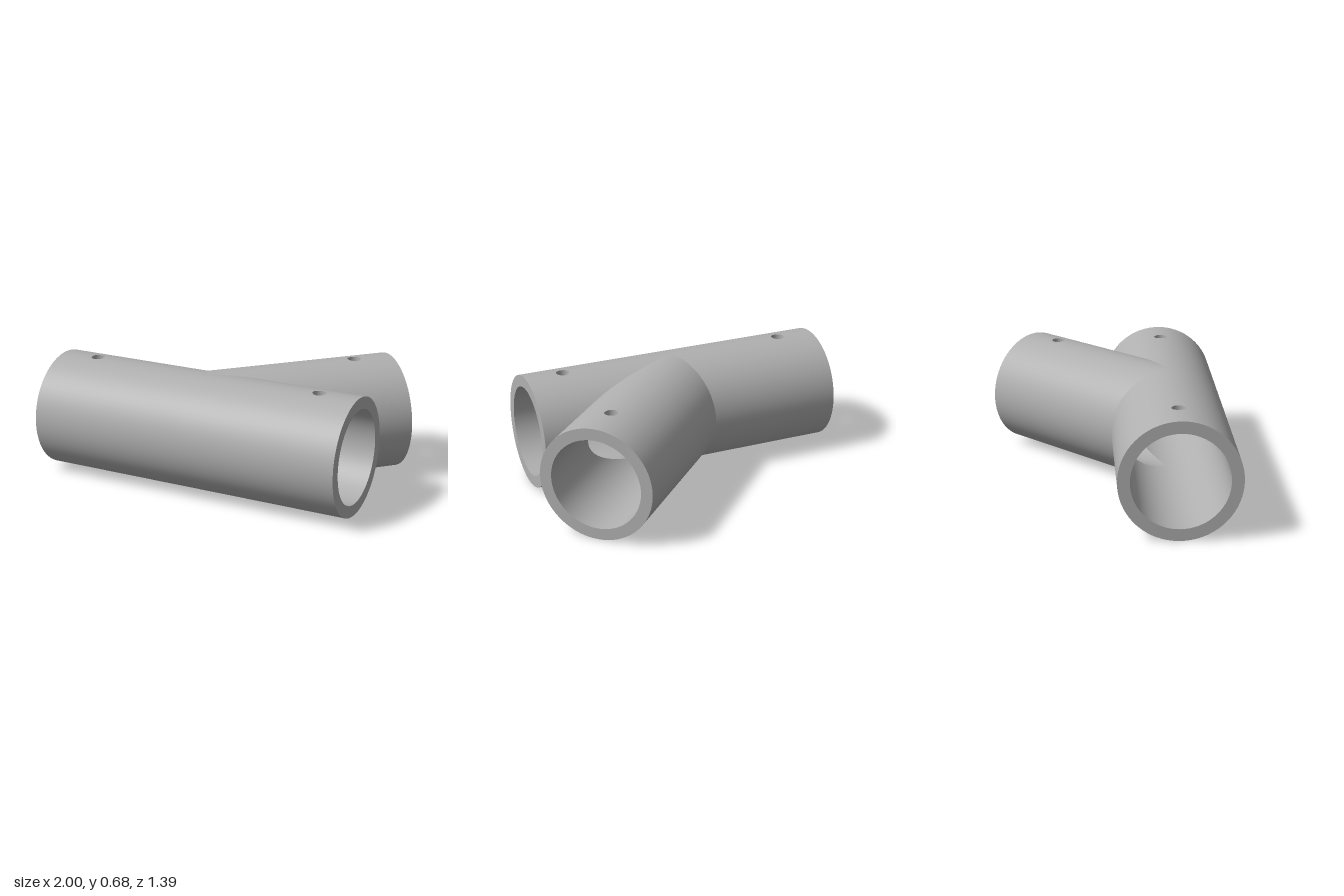
import * as THREE from 'three';

const R = 0.341, BORE = 0.272;          // outer and bore radius
const HOLE = 0.039, PATCH = 0.056;      // screw hole radius, half side of the patch around it
const NEAR = Math.tan(Math.PI / 8), FAR = 1 / NEAR; // mitre slopes of the 45 degree joint

// Collects quads with given normals and turns each triangle to face its normal
function surface() {
  const pos = [], nor = [];
  const tri = (...v) => {
    const [a, b, c] = v.map(q => q.p);
    const face = b.clone().sub(a).cross(c.clone().sub(a));
    if (face.lengthSq() < 1e-16) return;
    const mean = v[0].n.clone().add(v[1].n).add(v[2].n);
    const order = face.dot(mean) < 0 ? [v[0], v[2], v[1]] : v;
    for (const q of order) { pos.push(...q.p.toArray()); nor.push(...q.n.toArray()); }
  };
  return {
    quad(a, b, c, d) { tri(a, b, c); tri(a, c, d); },
    build() {
      const g = new THREE.BufferGeometry();
      g.setAttribute('position', new THREE.Float32BufferAttribute(pos, 3));
      g.setAttribute('normal', new THREE.Float32BufferAttribute(nor, 3));
      return g;
    },
  };
}

// Heights follow the cylinder of radius r; side is +1 outside, -1 in the bore
function onTop(s, z, r, side) {
  const y = Math.sqrt(r * r - z * z);
  return { p: new THREE.Vector3(s, y, z), n: new THREE.Vector3(0, y / r, z / r).multiplyScalar(side) };
}
function around(s, t, r, side) {
  const n = new THREE.Vector3(0, Math.cos(t), Math.sin(t));
  return { p: n.clone().multiplyScalar(r).setX(s), n: n.multiplyScalar(side) };
}

// Angles from the top: a narrow band for the screw hole, then the rest of the circle
function angles(r) {
  const list = [];
  for (let i = -4; i <= 4; i++) list.push(Math.asin(PATCH * Math.tan(i * Math.PI / 16) / r));
  const edge = list[8], n = 64;
  for (let i = 1; i <= n; i++) list.push(edge + (2 * Math.PI - 2 * edge) * i / n);
  return list;
}

// One pipe wall from the mitred joint to the open end, with a round hole on top
function wall(r, side, length, hole, kPlus, kMinus) {
  const out = surface(), list = angles(r);
  const start = t => {
    const z = r * Math.sin(t);
    return z > 0 ? kPlus * z : -kMinus * z;
  };
  for (let i = 0; i < list.length - 1; i++) {
    const a = list[i], b = list[i + 1];
    const strip = (a0, a1, b0, b1) => out.quad(
      around(a0, a, r, side), around(a1, a, r, side),
      around(b1, b, r, side), around(b0, b, r, side));
    if (i < 8) {
      strip(start(a), hole - PATCH, start(b), hole - PATCH);
      strip(hole + PATCH, length, hole + PATCH, length);
    } else strip(start(a), length, start(b), length);
  }
  // Square patch around the hole
  const ring = (t, square) => {
    const c = Math.cos(t), s = Math.sin(t);
    const k = square ? PATCH / Math.max(Math.abs(c), Math.abs(s)) : HOLE;
    return onTop(hole + k * c, k * s, r, side);
  };
  for (let i = 0; i < 32; i++) {
    const a = i * Math.PI / 16, b = a + Math.PI / 16;
    out.quad(ring(a, true), ring(a, false), ring(b, false), ring(b, true));
  }
  return out.build();
}

// Wall of the screw hole through the pipe thickness
function holeWall(hole) {
  const out = surface();
  const at = (t, r) => {
    const c = Math.cos(t), s = Math.sin(t);
    return { p: onTop(hole + HOLE * c, HOLE * s, r, 1).p, n: new THREE.Vector3(-c, 0, -s) };
  };
  for (let i = 0; i < 32; i++) {
    const a = i * Math.PI / 16, b = a + Math.PI / 16;
    out.quad(at(a, R), at(a, BORE), at(b, BORE), at(b, R));
  }
  return out.build();
}

// Flat ring closing the wall thickness at the open end
function endRing(length) {
  const out = surface(), outer = angles(R), inner = angles(BORE);
  const at = (t, r) => ({ p: around(length, t, r, 1).p, n: new THREE.Vector3(1, 0, 0) });
  for (let i = 0; i < outer.length - 1; i++) {
    out.quad(at(outer[i], R), at(inner[i], BORE), at(inner[i + 1], BORE), at(outer[i + 1], R));
  }
  return out.build();
}

export function createModel() {
  const model = new THREE.Group();
  model.name = 'angledPipeFitting';
  const grey = new THREE.MeshStandardMaterial({ color: 0xb0b0b0 });
  grey.name = 'grey';

  // Three arms meet at the joint; kPlus and kMinus are the mitre slopes on each side
  const arms = [
    { name: 'rightMainPipe', turn: Math.PI, length: 0.949, hole: 0.719, kPlus: NEAR, kMinus: 0 },
    { name: 'leftMainPipe', turn: 0, length: 0.938, hole: 0.706, kPlus: 0, kMinus: FAR },
    { name: 'branchPipe', turn: Math.PI / 4, length: 1.145, hole: 0.914, kPlus: FAR, kMinus: NEAR },
  ];
  for (const { name, turn, length, hole, kPlus, kMinus } of arms) {
    const arm = new THREE.Group();
    arm.name = name;
    const add = (part, geometry) => {
      const mesh = new THREE.Mesh(geometry, grey);
      mesh.name = part;
      arm.add(mesh);
    };
    add('outerWall', wall(R, 1, length, hole, kPlus, kMinus));
    add('bore', wall(BORE, -1, length, hole, kPlus, kMinus));
    add('screwHole', holeWall(hole));
    add('endRing', endRing(length));
    arm.rotation.y = turn;
    arm.position.set(-0.051, R, 0.355);
    model.add(arm);
  }
  return model;
}
